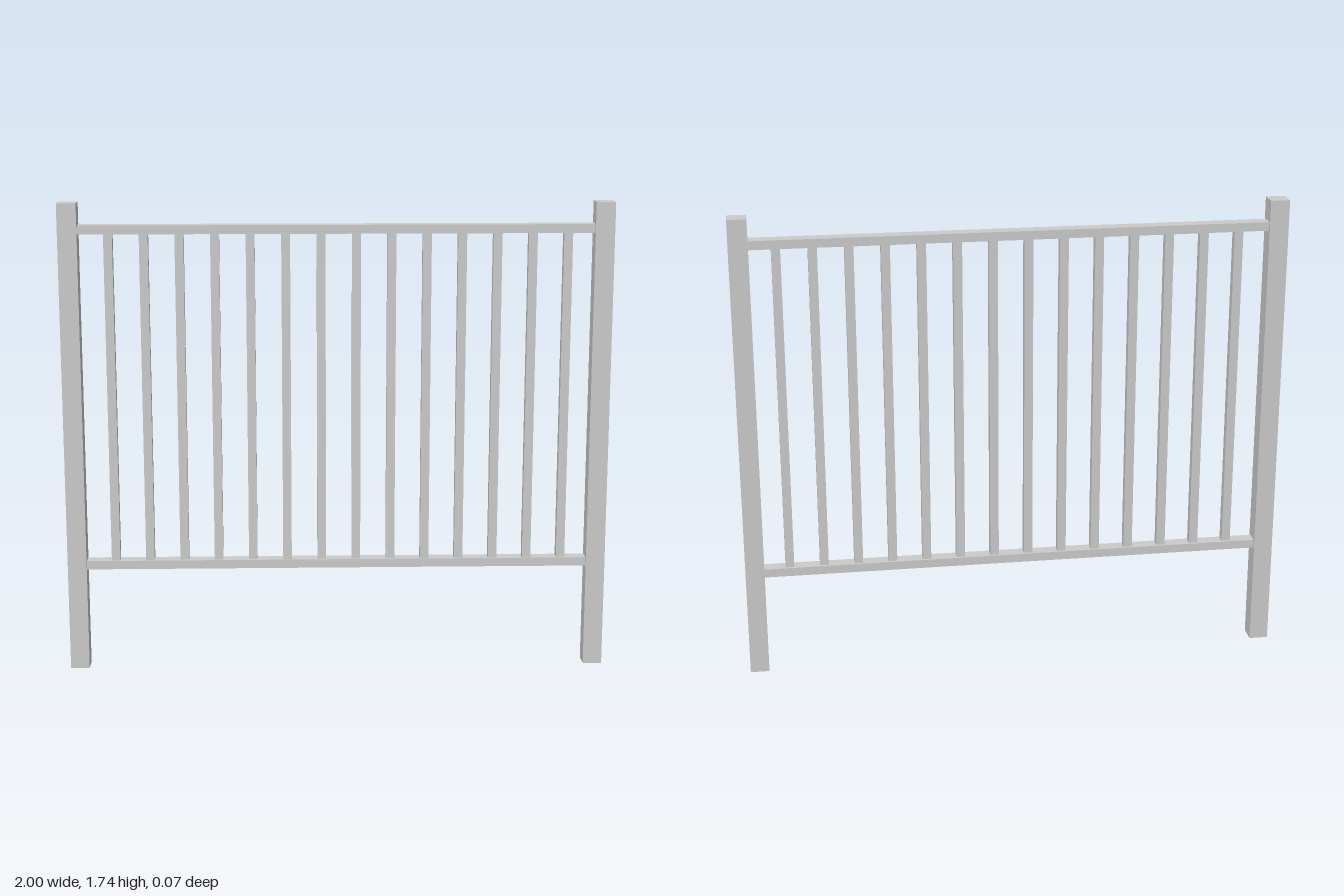
import * as THREE from 'three';

const material = new THREE.MeshStandardMaterial({ color: 0xcccccc, flatShading: true });
const hollowMaterial = new THREE.MeshStandardMaterial({ color: 0xcccccc, flatShading: true, side: THREE.DoubleSide });

const POST = { width: 0.07, height: 1.74, x: 0.965 };
const RAIL = { length: 1.86, height: 0.032, depth: 0.05 };
const LOWER_Y = 0.398, UPPER_Y = 1.644;
const BALUSTERS = { count: 14, first: -0.822, spacing: 0.1275, width: 0.032 };

function addBox(parent, name, size, position) {
  const mesh = new THREE.Mesh(new THREE.BoxGeometry(...size), material);
  mesh.name = name;
  mesh.position.set(...position);
  parent.add(mesh);
  return mesh;
}

// Square post, hollow and open at the foot
function addPost(parent, name, x) {
  const post = addBox(parent, name, [POST.width, POST.height, POST.width], [x, POST.height / 2, 0]);
  const index = Array.from(post.geometry.index.array);
  index.splice(18, 6); // drop the bottom face
  post.geometry.setIndex(index);
  post.geometry.clearGroups();
  post.material = hollowMaterial;
}

export function createModel() {
  const fence = new THREE.Group();
  fence.name = 'fencePanel';

  addPost(fence, 'leftPost', POST.x);
  addPost(fence, 'rightPost', -POST.x);

  // Horizontal rails between the posts
  const railSize = [RAIL.length, RAIL.height, RAIL.depth];
  addBox(fence, 'lowerRail', railSize, [0, LOWER_Y, 0]);
  addBox(fence, 'upperRail', railSize, [0, UPPER_Y, 0]);

  // Evenly spaced uprights from rail to rail
  const balusters = new THREE.Group();
  balusters.name = 'balusters';
  const height = UPPER_Y - LOWER_Y - RAIL.height;
  for (let i = 0; i < BALUSTERS.count; i++) {
    addBox(balusters, 'baluster', [BALUSTERS.width, height, BALUSTERS.width],
      [BALUSTERS.first + i * BALUSTERS.spacing, (LOWER_Y + UPPER_Y) / 2, 0]);
  }
  fence.add(balusters);

  return fence;
}
